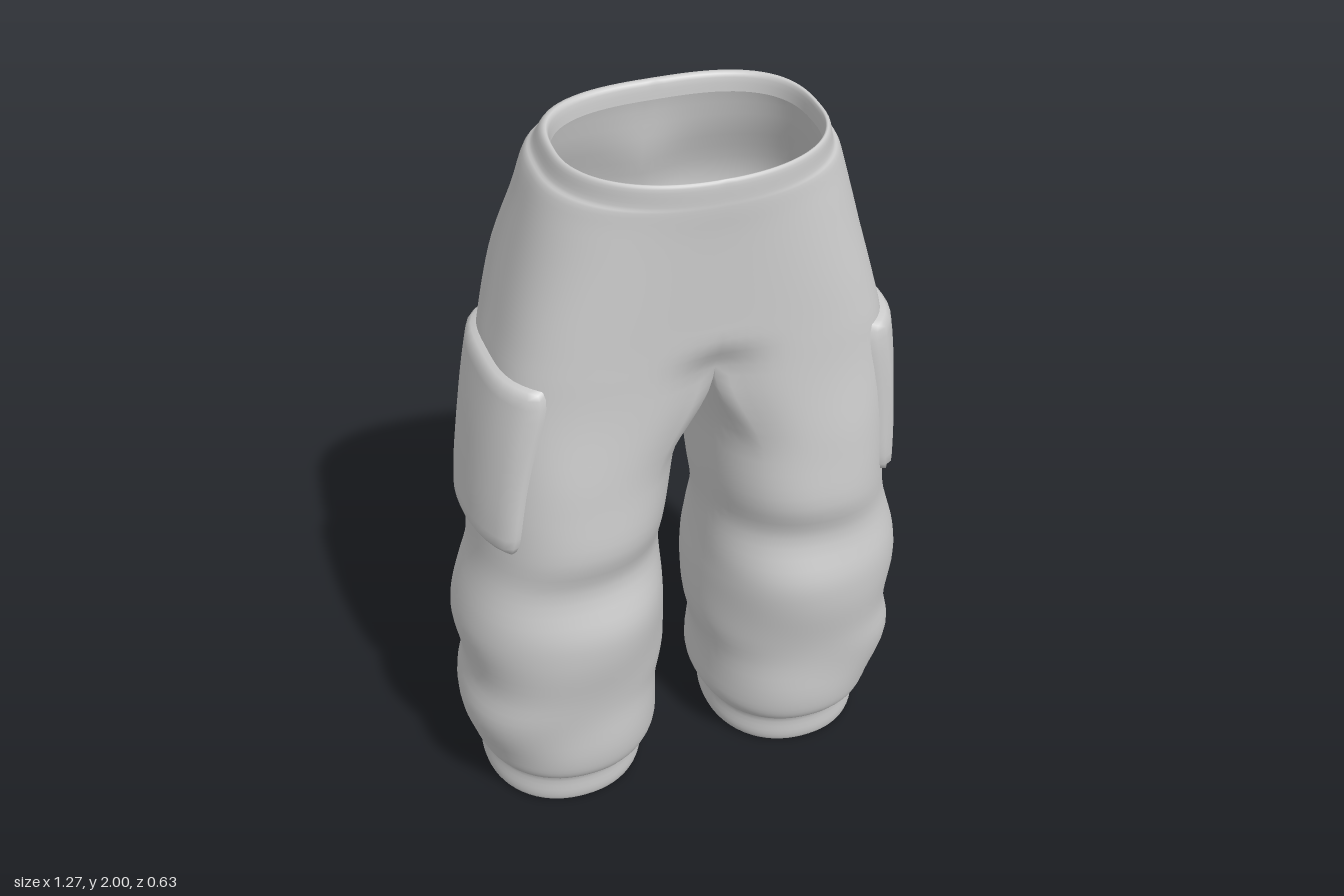
import * as THREE from 'three';
import { mergeGeometries, mergeVertices } from 'three/addons/utils/BufferGeometryUtils.js';

// Cross-sections from the hem fold up to the waist fold: y, inner x, outer x, front z, back z
const ROWS = [
  [0.07, 0.14, 0.54, 0.17, -0.23], [0.03, 0.135, 0.545, 0.18, -0.24], [0.02, 0.12, 0.565, 0.2, -0.26],
  [0.05, 0.11, 0.57, 0.21, -0.265], [0.11, 0.112, 0.565, 0.215, -0.26], [0.145, 0.09, 0.587, 0.252, -0.278],
  [0.2, 0.07, 0.607, 0.268, -0.305], [0.34, 0.075, 0.635, 0.28, -0.31], [0.46, 0.055, 0.617, 0.29, -0.29],
  [0.6, 0.05, 0.632, 0.312, -0.302], [0.7, 0.06, 0.617, 0.317, -0.303], [0.83, 0.073, 0.583, 0.292, -0.275],
  [0.95, 0.06, 0.57, 0.315, -0.283], [1.1, 0.045, 0.56, 0.307, -0.277], [1.27, 0.025, 0.542, 0.3, -0.278],
  [1.42, 0, 0.512, 0.298, -0.287], [1.52, 0, 0.487, 0.297, -0.31], [1.65, 0, 0.453, 0.3, -0.317],
  [1.8, 0, 0.412, 0.305, -0.268], [1.9, 0, 0.382, 0.31, -0.235], [1.925, 0, 0.36, 0.31, -0.222],
  [1.97, 0, 0.345, 0.31, -0.188], [1.975, 0, 0.33, 0.3, -0.162], [1.93, 0, 0.325, 0.295, -0.157],
];
const CROTCH = 15, CROTCH_Y = 1.42, LAST = ROWS.length - 1, SEAM = 0.7;
const { lerp, clamp, smoothstep } = THREE.MathUtils;
const steps = (a, b, n) => Array.from({ length: n + 1 }, (_, i) => lerp(a, b, i / n));

// Point of a unit superellipse; larger n is squarer
function oval(angle, n) {
  const s = Math.sin(angle), c = Math.cos(angle);
  const r = (Math.abs(s) ** n + Math.abs(c) ** n) ** (-1 / n);
  return [s * r, c * r];
}

// Smooth interpolation between the rows
function section(u) {
  const i = Math.min(Math.floor(u), LAST - 1), t = u - i;
  const row = n => ROWS[clamp(n, 0, LAST)];
  return ROWS[i].map((b, n) => {
    const a = row(i - 1)[n], c = row(i + 1)[n], d = row(i + 2)[n];
    return b + 0.5 * t * (c - a + t * (2 * a - 5 * b + 4 * c - d + t * (3 * (b - c) + d - a)));
  });
}

// Cloth surface of the left half: k 0..1 runs front seam, outside, back seam; 1..2 is the inner leg
function cloth(u, k) {
  k %= 2;
  const [y, xi, xo, zf, zb] = section(u);
  const zc = (zf + zb) / 2, zr = (zf - zb) / 2;

  // Hip shape: boxier towards the legs, flatter at the back, dented along the centre
  const hip = f => {
    const n = lerp(3.4, f > Math.PI / 2 ? 2.8 : 2.2, smoothstep(y, 1.45, 1.95));
    const [ox, oz] = oval(f, n);
    const dent = oz > 0 ? 0.16 * smoothstep(1.52 - y, 0, 0.12)
      : 0.1 * smoothstep(1.9 - y, 0, 0.2) + 0.2 * smoothstep(1.62 - y, 0, 0.2);
    return [xo * ox, zc + zr * oz * (1 - dent * Math.exp(-((xo * ox / 0.1) ** 2)))];
  };
  const [hx, hz] = k <= 1 ? hip(Math.PI * k) : [0, lerp(hip(Math.PI)[1], hip(0)[1], k - 1)];

  // Leg shape, fuller towards the outer front, with soft folds around the knee and shin
  const a = k <= 1 ? lerp(-SEAM, Math.PI + SEAM, k) : lerp(Math.PI + SEAM, 2 * Math.PI - SEAM, k - 1);
  const folds = smoothstep(y, 0.15, 0.3) * (1 - smoothstep(y, 0.8, 1));
  const r = 1 + 0.015 * folds * Math.sin(3 * a + 14 * y);
  const [ox, oz] = oval(a, lerp(2.15, 2.4, smoothstep(y, 0.8, 1.1)));
  const lx = (xi + xo) / 2 + (xo - xi) / 2 * r * ox;
  const lz = zc + zr * r * oz + 0.03 * folds * Math.max(ox, 0) ** 2;

  const s = smoothstep(CROTCH_Y - y, 0, 0.3);
  const x = lerp(hx, lx, s), z = lerp(hz, lz, s);
  // Hems and waist are tilted
  const tilt = -0.09 * z * (1 - smoothstep(y, 0.05, 0.2)) - 0.09 * (z - 0.06) * smoothstep(y, 1.8, 1.9);
  return new THREE.Vector3(x, y + tilt, z);
}

// Grid surface from a rule; side -1 mirrors it
function grid(us, ks, rule, side) {
  const pos = [], index = [], w = ks.length;
  us.forEach((u, i) => ks.forEach((k, j) => {
    const p = rule(u, k, i, j);
    pos.push(side * p.x + 0.018 * smoothstep(p.y, 0.9, 1.5), p.y, p.z);
    if (i && j) {
      const d = i * w + j, c = d - 1, b = d - w, a = b - 1;
      if (side > 0) index.push(a, b, c, b, d, c);
      else index.push(a, c, b, b, c, d);
    }
  }));
  const g = new THREE.BufferGeometry();
  g.setAttribute('position', new THREE.Float32BufferAttribute(pos, 3));
  g.setIndex(index);
  return g;
}

// Side pocket: a raised patch with rounded corners that follows the cloth
function pocketGeometry(side) {
  const edge = [0, 0.02, 0.06, ...steps(0.12, 0.88, 10), 0.94, 0.98, 1];
  const n = edge.length - 1;
  const rule = (v, h, i, j) => {
    const cv = 2 * v - 1, ch = 2 * h - 1;
    const u = lerp(13.6, 13.6 + 1.57 * cv, 1 - 0.03 * ch ** 8);
    const z = 0.01 - 0.237 * ch * (1 - 0.06 * cv ** 8);
    let lo = 0.13, hi = 0.87;
    for (let q = 0; q < 24; q++) {
      const mid = (lo + hi) / 2;
      if (cloth(u, mid).z > z) lo = mid; else hi = mid;
    }
    const p = cloth(u, lo);
    const rim = Math.min(i, j, n - i, n - j);
    const out = new THREE.Vector3(p.x - 0.27, 0, p.z).normalize();
    return p.addScaledVector(out, [-0.01, 0.014][rim] ?? 0.025);
  };
  const g = grid(edge, edge, rule, side);
  g.computeVertexNormals();
  return g;
}

export function createModel() {
  const model = new THREE.Group();
  model.name = 'cargoTrousers';
  const fabric = new THREE.MeshStandardMaterial({ color: 0xcccccc, side: THREE.DoubleSide });
  fabric.name = 'greyFabric';

  // Hips and legs joined along the centre seam
  const parts = [1, -1].flatMap(side => [
    grid(steps(0, LAST, LAST * 4), steps(0, 1, 48), cloth, side),
    grid(steps(0, CROTCH, CROTCH * 4), steps(1, 2, 16), cloth, side),
  ]);
  const body = mergeVertices(mergeGeometries(parts), 1e-5);
  body.computeVertexNormals();
  const trousers = new THREE.Mesh(body, fabric);
  trousers.name = 'trouserBody';
  model.add(trousers);

  for (const side of [1, -1]) {
    const pocket = new THREE.Mesh(pocketGeometry(side), fabric);
    pocket.name = side > 0 ? 'leftPocket' : 'rightPocket';
    model.add(pocket);
  }
  return model;
}
